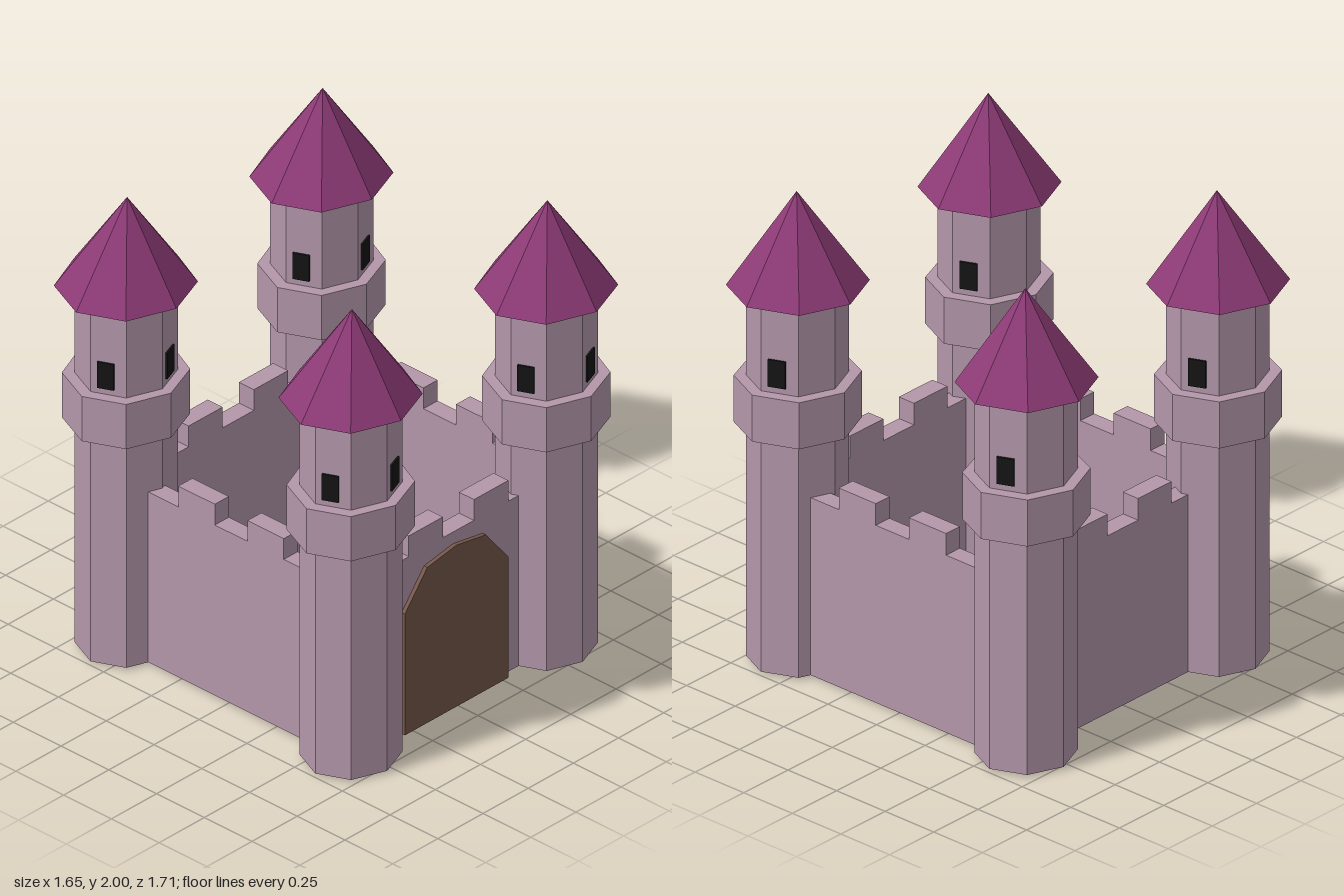
import * as THREE from 'three';

const material = (color) => new THREE.MeshStandardMaterial({ color, flatShading: true });
const STONE = material(0xb497ab);
const ROOF = material(0x8c3a75);
const WOOD = material(0x75574a);
const DARK = material(0x141414);

const BASE = 0.012;       // underside of the stonework
const WALL_TOP = 0.775;
const MERLON_TOP = 0.868;
const WALL_DEPTH = 0.078;

function addMesh(parent, name, geometry, mat) {
  const mesh = new THREE.Mesh(geometry, mat);
  mesh.name = name;
  parent.add(mesh);
  return mesh;
}

// Octagons are slightly flattened, a little more at the front than at the back
function flatten(geometry) {
  const p = geometry.attributes.position;
  for (let i = 0; i < p.count; i++) {
    const z = p.getZ(i);
    p.setZ(i, z * (z > 0 ? 0.915 : 0.98));
  }
  geometry.computeVertexNormals();
  return geometry;
}

// Eight-sided prism or cone between two heights
function octagon(topRadius, bottomRadius, y0, y1) {
  const g = new THREE.CylinderGeometry(topRadius, bottomRadius, y1 - y0, 8);
  return flatten(g.translate(0, (y0 + y1) / 2, 0));
}

function createTower(name) {
  const tower = new THREE.Group();
  tower.name = name;
  addMesh(tower, 'towerShaft', octagon(0.202, 0.202, BASE, 1.62), STONE);
  addMesh(tower, 'towerCollar', octagon(0.251, 0.251, 1.02, 1.22), STONE);
  addMesh(tower, 'towerRoof', octagon(0, 0.282, 1.61, 2), ROOF);

  // Windows on three faces, a quarter turn apart
  for (const degrees of [-22.5, 67.5, 157.5]) {
    const g = new THREE.BoxGeometry(0.072, 0.116, 0.016);
    g.translate(-0.01, 1.305, 0.187);
    g.rotateY(Math.PI / 2 - THREE.MathUtils.degToRad(degrees));
    addMesh(tower, 'towerWindow', flatten(g), DARK);
  }
  return tower;
}

// Wall along local x with two merlons; each merlon is a [start, end] pair
function createWall(name, start, end, merlons) {
  const s = new THREE.Shape();
  s.moveTo(start, BASE);
  s.lineTo(end, BASE);
  s.lineTo(end, WALL_TOP);
  for (const [a, b] of [...merlons].reverse()) {
    s.lineTo(b, WALL_TOP);
    s.lineTo(b, MERLON_TOP);
    s.lineTo(a, MERLON_TOP);
    s.lineTo(a, WALL_TOP);
  }
  s.lineTo(start, WALL_TOP);
  const g = new THREE.ExtrudeGeometry(s, { depth: WALL_DEPTH, bevelEnabled: false });
  g.translate(0, 0, -WALL_DEPTH / 2);
  const wall = new THREE.Mesh(g, STONE);
  wall.name = name;
  return wall;
}

export function createModel() {
  const castle = new THREE.Group();
  castle.name = 'castle';

  // Corner towers
  for (const [side, x] of [['Left', 0.541], ['Right', -0.541]]) {
    for (const [end, z] of [['front', 0.602], ['back', -0.575]]) {
      const tower = createTower(`${end}${side}Tower`);
      tower.position.set(x, 0, z);
      castle.add(tower);
    }
  }

  // Front and back walls
  const acrossMerlons = [[-0.256, -0.067], [0.105, 0.295]];
  for (const [name, z] of [['frontWall', 0.591], ['backWall', -0.562]]) {
    const wall = createWall(name, -0.46, 0.46, acrossMerlons);
    wall.position.z = z;
    castle.add(wall);
  }

  // Side walls, turned so that local x runs towards the back
  const sideMerlons = [[-0.298, -0.108], [0.063, 0.254]];
  for (const [name, x] of [['leftWall', 0.597], ['rightWall', -0.558]]) {
    const wall = createWall(name, -0.52, 0.5, sideMerlons);
    wall.rotation.y = Math.PI / 2;
    wall.position.x = x;
    castle.add(wall);
  }

  // Gate with a faceted arch
  const gate = new THREE.Shape([
    [-0.295, 0], [0.277, 0], [0.277, 0.543], [0.153, 0.696],
    [-0.009, 0.723], [-0.171, 0.696], [-0.295, 0.543],
  ].map(([x, y]) => new THREE.Vector2(x, y)));
  const gateGeometry = new THREE.ExtrudeGeometry(gate, { depth: 0.036, bevelEnabled: false });
  addMesh(castle, 'gate', gateGeometry, WOOD).position.z = 0.611;

  return castle;
}
